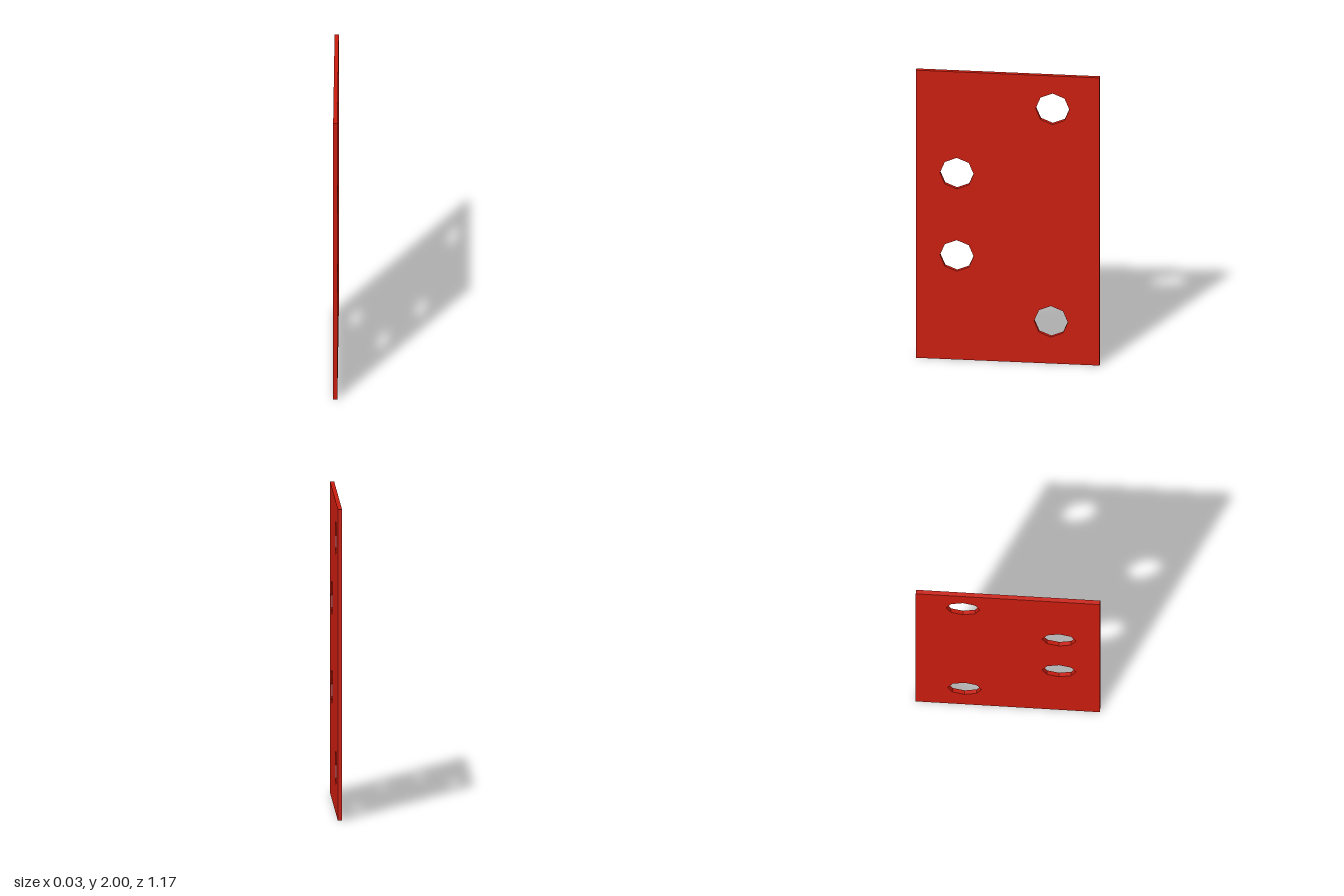
import * as THREE from 'three';

const HEIGHT = 2;
const WIDTH = 1.174;
const THICKNESS = 0.027;
const HOLE_RADIUS = 0.108;
const HOLE_SIDES = 8;

// Hole centres as [z, y]
const HOLES = [[-0.286, 1.77], [0.326, 1.294], [0.326, 0.722], [-0.276, 0.291]];

function octagonHole(u, v) {
  const points = [];
  for (let i = 0; i < HOLE_SIDES; i++) {
    const a = -i / HOLE_SIDES * Math.PI * 2;
    points.push(new THREE.Vector2(u + HOLE_RADIUS * Math.cos(a), v + HOLE_RADIUS * Math.sin(a)));
  }
  return new THREE.Path(points);
}

export function createModel() {
  const group = new THREE.Group();
  group.name = 'perforatedPanel';

  // Rectangular outline pierced by the octagonal holes (shape x is -z)
  const w = WIDTH / 2;
  const outline = new THREE.Shape([
    new THREE.Vector2(-w, 0), new THREE.Vector2(w, 0),
    new THREE.Vector2(w, HEIGHT), new THREE.Vector2(-w, HEIGHT),
  ]);
  for (const [z, y] of HOLES) outline.holes.push(octagonHole(-z, y));

  // Thin plate, turned to face the sides
  const geometry = new THREE.ExtrudeGeometry(outline, { depth: THICKNESS, bevelEnabled: false });
  geometry.translate(0, 0, -THICKNESS / 2);
  geometry.rotateY(Math.PI / 2);

  const plate = new THREE.Mesh(geometry, new THREE.MeshStandardMaterial({ color: 0xc81c0e, flatShading: true }));
  plate.name = 'plate';
  group.add(plate);
  return group;
}
